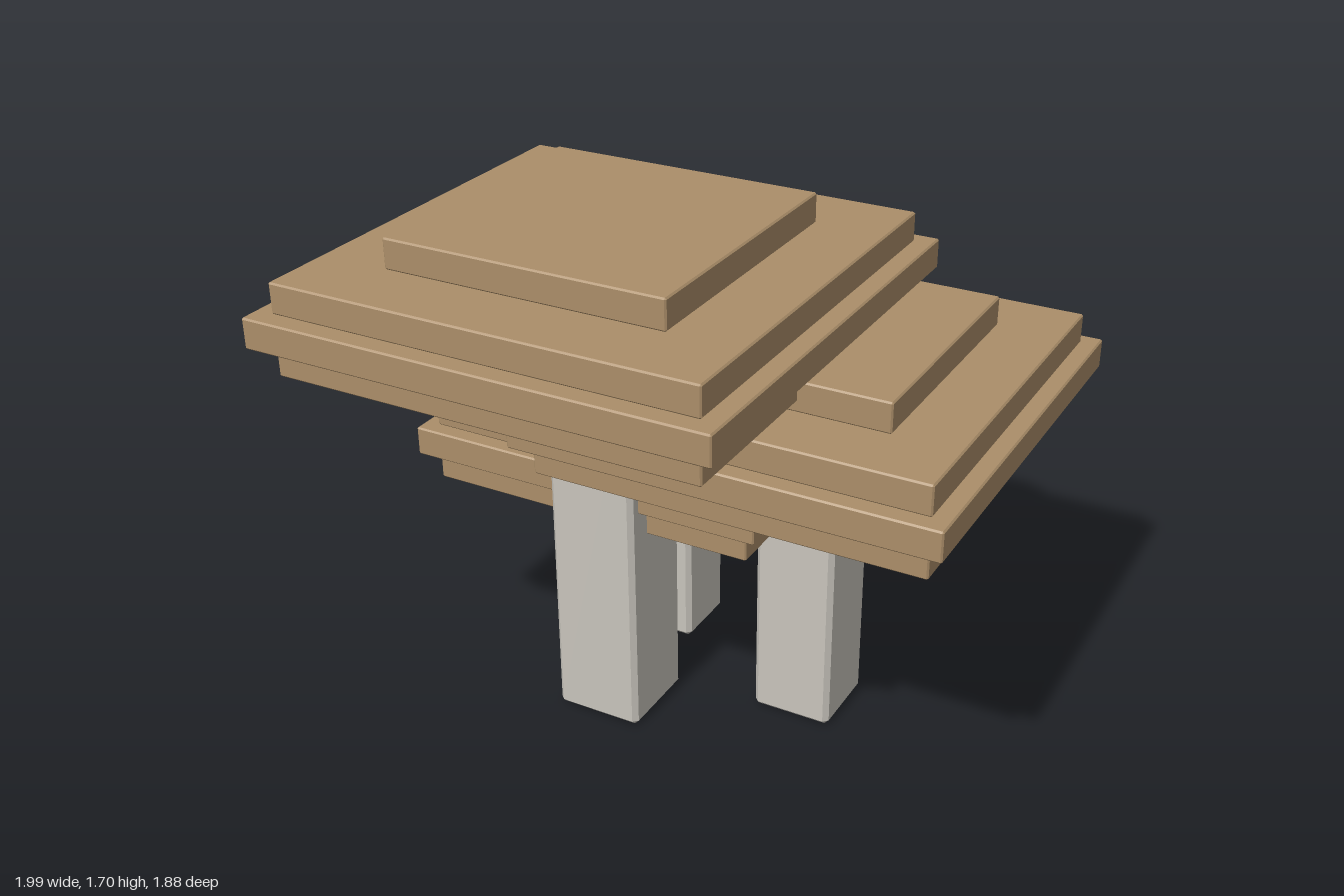
import * as THREE from 'three';
import { ConvexGeometry } from 'three/addons/geometries/ConvexGeometry.js';

// Box with flat chamfers on every edge, centred on the origin
function chamferBox(w, h, d, b) {
  const half = [w / 2, h / 2, d / 2];
  const points = [];
  for (const sx of [-1, 1]) for (const sy of [-1, 1]) for (const sz of [-1, 1]) {
    for (let face = 0; face < 3; face++) {
      const [x, y, z] = half.map((v, i) => (i === face ? v : v - b));
      points.push(new THREE.Vector3(sx * x, sy * y, sz * z));
    }
  }
  return new ConvexGeometry(points);
}

export function createModel() {
  const model = new THREE.Group();
  model.name = 'treeCluster';
  const canopyBrown = new THREE.MeshStandardMaterial({ color: 0xab8e69 });
  canopyBrown.name = 'canopyBrown';
  const trunkGrey = new THREE.MeshStandardMaterial({ color: 0xc8c4bc });
  trunkGrey.name = 'trunkGrey';

  const layerHeight = 0.097;

  function addTree({ name, x, z, base, layers, trunk }) {
    const tree = new THREE.Group();
    tree.name = name;
    tree.position.set(x, 0, z);

    // Square trunk, ending just inside the lowest slab
    const trunkHeight = base + 0.03;
    const post = new THREE.Mesh(chamferBox(trunk, trunkHeight, trunk, 0.016), trunkGrey);
    post.name = 'trunk';
    post.position.y = trunkHeight / 2;
    tree.add(post);

    // Five stacked square slabs, widest in the middle
    const [wide, medium, narrow] = layers;
    [narrow, medium, wide, medium, narrow].forEach((size, i) => {
      const slab = new THREE.Mesh(chamferBox(size, layerHeight, size, 0.005), canopyBrown);
      slab.name = `canopySlab${i + 1}`;
      slab.position.y = base + layerHeight * (i + 0.5);
      tree.add(slab);
    });
    model.add(tree);
  }

  addTree({ name: 'tallTree', x: -0.247, z: 0.187, base: 1.216, layers: [1.5, 1.38, 0.92], trunk: 0.296 });
  addTree({ name: 'middleTree', x: 0.314, z: -0.095, base: 0.893, layers: [1.362, 1.252, 0.834], trunk: 0.268 });
  addTree({ name: 'shortTree', x: -0.317, z: -0.323, base: 0.591, layers: [1.23, 1.13, 0.753], trunk: 0.243 });
  return model;
}
